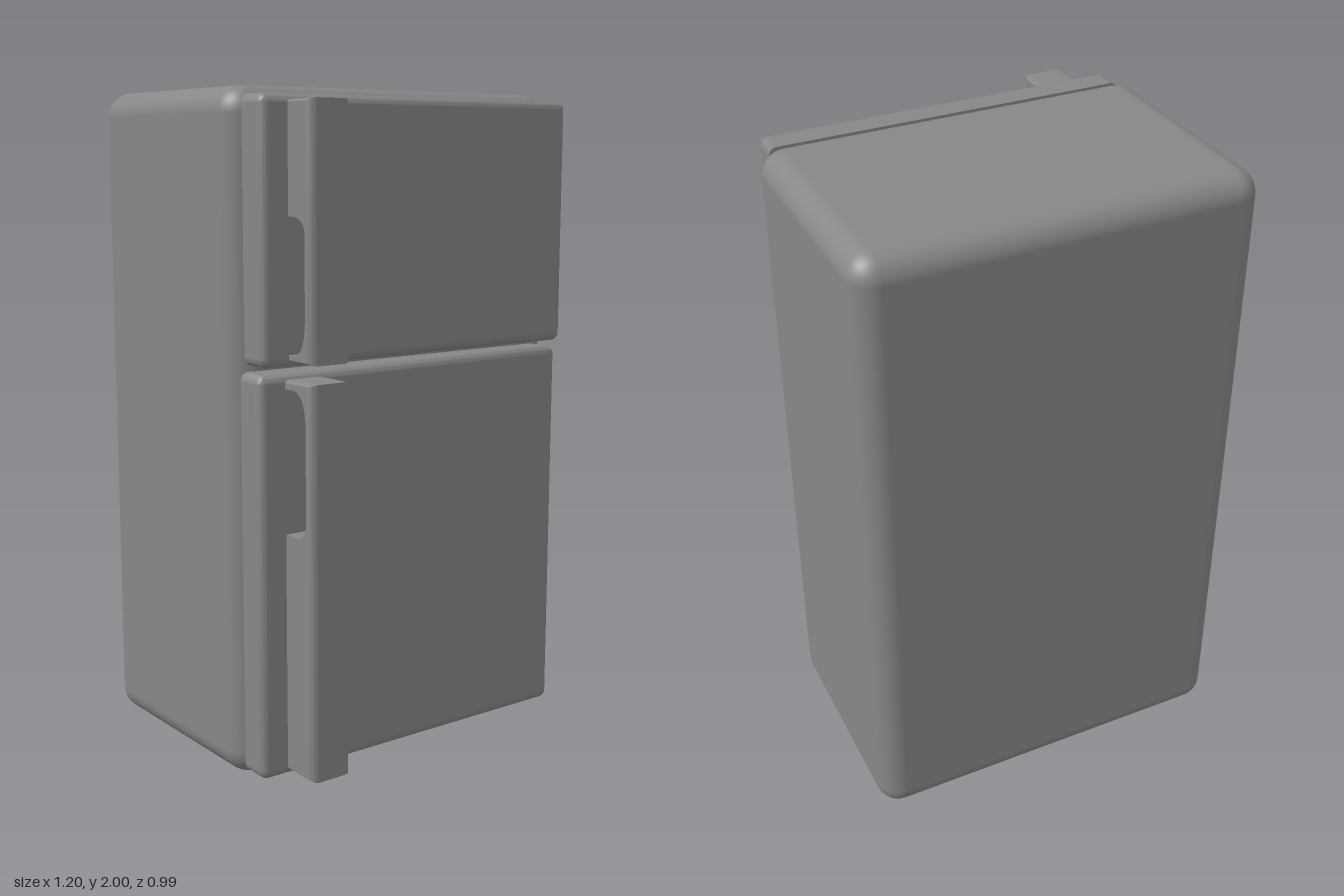
import * as THREE from 'three';
import { RoundedBoxGeometry } from 'three/addons/geometries/RoundedBoxGeometry.js';
import { toCreasedNormals } from 'three/addons/utils/BufferGeometryUtils.js';

const material = new THREE.MeshStandardMaterial({ color: 0x878787 });

function addMesh(group, name, geometry) {
  const mesh = new THREE.Mesh(geometry, material);
  mesh.name = name;
  group.add(mesh);
  return mesh;
}

// Smooth the rounded edges while keeping axis-aligned faces perfectly flat
function smoothEdges(geometry) {
  const geo = toCreasedNormals(geometry, 0.6);
  const { position, normal } = geo.attributes;
  const tri = new THREE.Triangle(), n = new THREE.Vector3();
  for (let i = 0; i < position.count; i += 3) {
    tri.setFromAttributeAndIndices(position, i, i + 1, i + 2).getNormal(n);
    if (Math.max(Math.abs(n.x), Math.abs(n.y), Math.abs(n.z)) < 0.9999) continue;
    for (let j = i; j < i + 3; j++) normal.setXYZ(j, n.x, n.y, n.z);
  }
  return geo;
}

// Door slab: rounded front edges, flat square back
function doorGeometry(width, height, depth) {
  const geo = new RoundedBoxGeometry(width, height, depth * 2, 4, 0.025);
  const pos = geo.attributes.position;
  for (let i = 0; i < pos.count; i++) pos.setZ(i, Math.max(0, pos.getZ(i)));
  return smoothEdges(geo);
}

// Handle bar: side profile with a finger notch, extruded across x with rounded front edges
function handleGeometry({ back, front, y0, y1, notch0, notch1, curve0, curve1 }) {
  const inner = front - 0.03;
  const s = new THREE.Shape();
  s.moveTo(back, y0);
  s.lineTo(front, y0);
  s.lineTo(front, y1);
  s.lineTo(back, y1);
  s.lineTo(back, notch1);
  s.lineTo(inner - 0.06, notch1);
  s.quadraticCurveTo(inner, notch1, inner, notch1 - curve1);
  s.lineTo(inner, notch0 + curve0);
  s.quadraticCurveTo(inner, notch0, inner - 0.06, notch0);
  s.lineTo(back, notch0);
  s.closePath();

  const arc = 5, last = arc * 2 + 1, half = 0.067, r = 0.022;
  const geo = new THREE.ExtrudeGeometry(s, { depth: last, steps: last, bevelEnabled: false, curveSegments: 10 });
  geo.rotateY(-Math.PI / 2);
  const pos = geo.attributes.position;
  for (let i = 0; i < pos.count; i++) {
    // Each slice sits on a quarter circle at its side of the bar
    const k = Math.round(-pos.getX(i));
    const side = k <= arc ? 1 : -1;
    const a = ((side > 0 ? k : last - k) / arc) * Math.PI / 2;
    const drop = r * (1 - Math.sin(a));
    pos.setXYZ(i,
      side * (half - r * (1 - Math.cos(a))),
      THREE.MathUtils.clamp(pos.getY(i), y0 + drop * 0.4, y1 - drop * 0.4),
      Math.min(pos.getZ(i), front - drop));
  }
  return smoothEdges(geo);
}

export function createModel() {
  const model = new THREE.Group();
  model.name = 'refrigerator';

  // Cabinet
  addMesh(model, 'cabinet', new RoundedBoxGeometry(1.2, 2, 0.77, 4, 0.075)).position.set(0, 1, -0.11);

  // Doors
  const doors = [
    { name: 'freezerDoor', y0: 1.232, y1: 1.973, z: 0.293 },
    { name: 'mainDoor', y0: 0.03, y1: 1.211, z: 0.272 },
  ];
  for (const { name, y0, y1, z } of doors) {
    addMesh(model, name, doorGeometry(1.13, y1 - y0, 0.097)).position.set(-0.015, (y0 + y1) / 2, z);
  }

  // Handles on the model's right-hand side
  const handles = {
    freezerHandle: { back: 0.385, front: 0.497, y0: 1.245, y1: 1.958, notch0: 1.266, notch1: 1.645, curve0: 0.11, curve1: 0.05 },
    mainHandle: { back: 0.365, front: 0.497, y0: 0.047, y1: 1.194, notch0: 0.752, notch1: 1.169, curve0: 0.05, curve1: 0.11 },
  };
  for (const [name, spec] of Object.entries(handles)) {
    addMesh(model, name, handleGeometry(spec)).position.x = -0.429;
  }

  return model;
}
